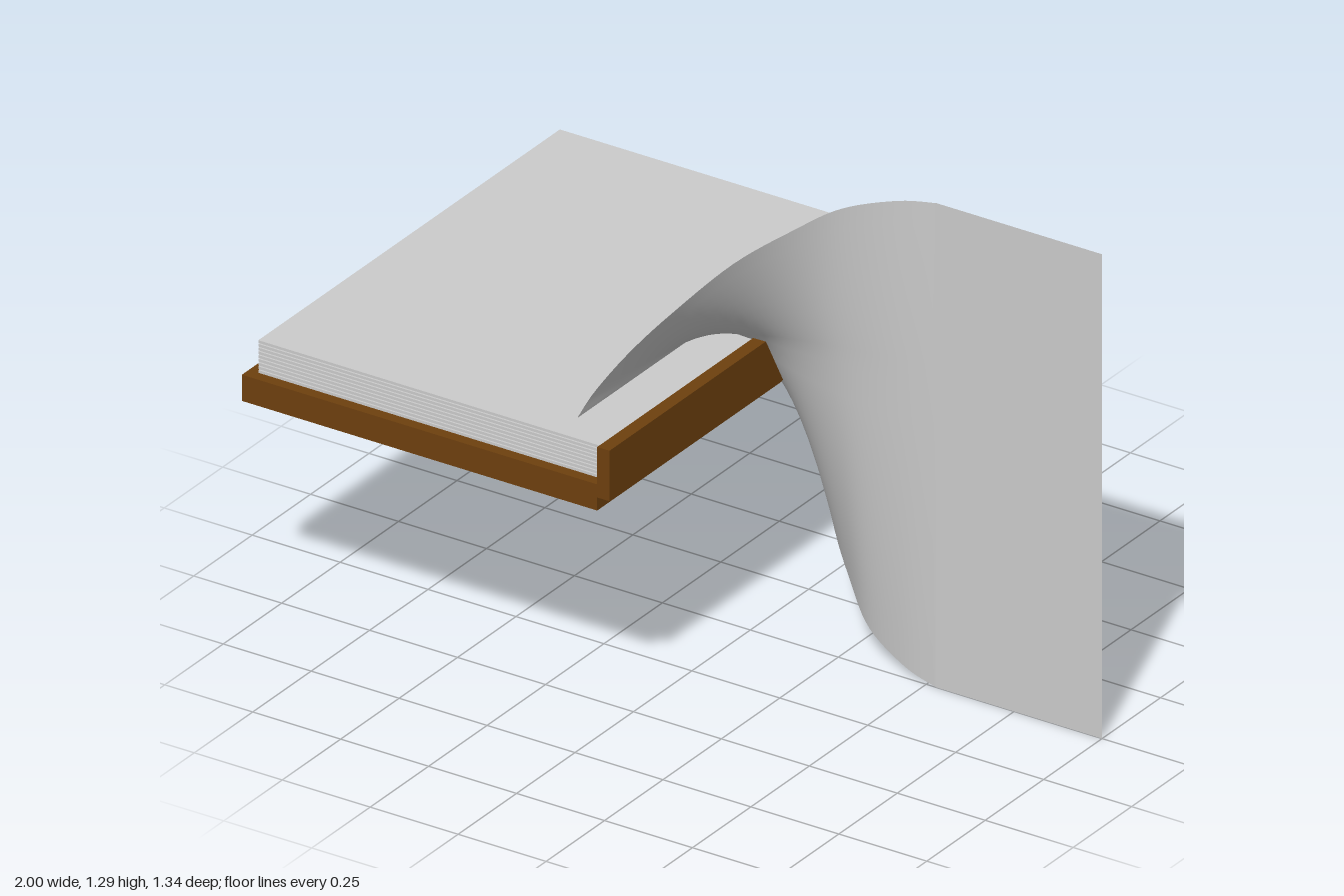
import * as THREE from 'three';

const BROWN = new THREE.MeshStandardMaterial({ color: 0x6e400e });
const GREY = new THREE.MeshStandardMaterial({ color: 0xcccccc });
const SHEET = new THREE.MeshStandardMaterial({ color: 0xcccccc, side: THREE.DoubleSide });

// Box given by its min and max corners
function box(name, material, [x0, y0, z0], [x1, y1, z1]) {
  const mesh = new THREE.Mesh(new THREE.BoxGeometry(x1 - x0, y1 - y0, z1 - z0), material);
  mesh.position.set((x0 + x1) / 2, (y0 + y1) / 2, (z0 + z1) / 2);
  mesh.name = name;
  return mesh;
}

// Sheet that stands upright on the right and twists down flat onto the page block
function twistedPage() {
  // Twist amount (0 upright, 1 lying down) against x
  const path = new THREE.SplineCurve([
    [0.53, 0], [0.43, 0.03], [0.3, 0.107], [0.205, 0.22], [0.095, 0.38],
    [0, 0.59], [-0.06, 0.75], [-0.1, 0.9], [-0.113, 1],
  ].map(([x, t]) => new THREE.Vector2(x, t)));
  const stations = [new THREE.Vector2(1, 0), ...path.getPoints(48)];

  const half = 8, rows = half * 2;
  const geometry = new THREE.PlaneGeometry(1, 1, rows, stations.length - 1);
  const pos = geometry.attributes.position;
  const middle = new THREE.Vector3(), end = new THREE.Vector3();
  stations.forEach(({ x, y: t }, i) => {
    for (let j = 0; j <= rows; j++) {
      middle.set(x, 0.783, 0);
      if (j < half) end.set(x, 0.61 * t, -0.55 * t);
      else end.set(x, 1.295 - 0.512 * t, 0.57 * t);
      middle.lerp(end, Math.abs(j - half) / half);
      pos.setXYZ(i * (rows + 1) + j, middle.x, middle.y, middle.z);
    }
  });
  geometry.computeVertexNormals();
  const mesh = new THREE.Mesh(geometry, SHEET);
  mesh.name = 'twistedPage';
  return mesh;
}

export function createModel() {
  const group = new THREE.Group();
  group.name = 'openBook';

  // Back cover and spine
  group.add(box('backCover', BROWN, [-1, 0.615, -0.67], [0.01, 0.685, 0.67]));
  group.add(box('spine', BROWN, [0.01, 0.65, -0.67], [0.045, 0.785, 0.67]));

  // Stack of thin pages
  const pages = new THREE.Group();
  pages.name = 'pageBlock';
  const count = 9, pitch = 0.01;
  for (let i = 0; i < count; i++) {
    const y = 0.688 + i * pitch;
    pages.add(box('page', GREY, [-0.97, y, -0.645], [0.01, y + 0.007, 0.645]));
  }
  group.add(pages);

  group.add(twistedPage());
  return group;
}
